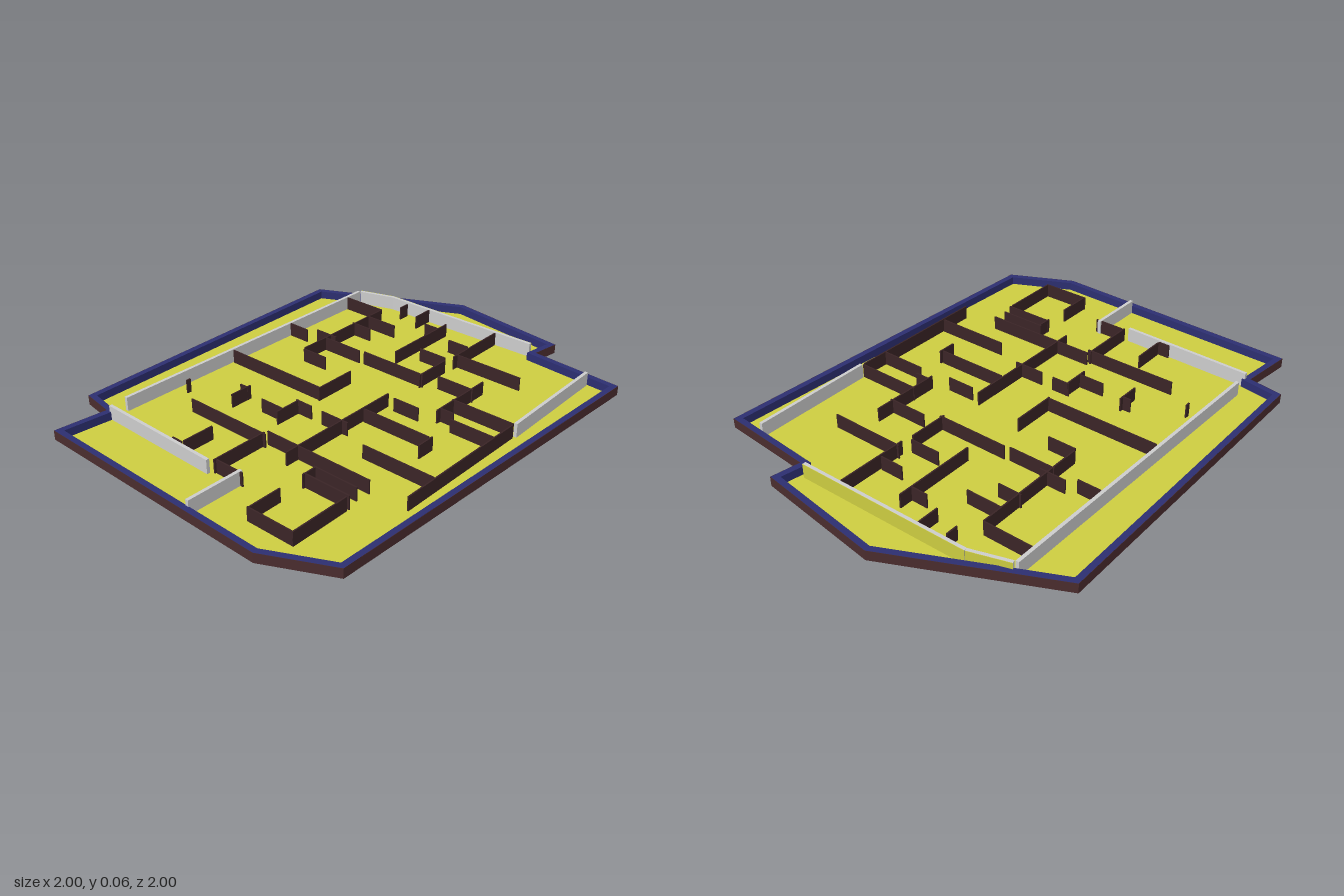
import * as THREE from 'three';

const mat = (color) => new THREE.MeshStandardMaterial({ color, flatShading: true, side: THREE.DoubleSide });

// Plan outline as [x, z], clockwise seen from above
const OUTLINE = [[-0.42, -1], [0.27, -1], [0.72, -0.705], [0.65, -0.605], [1, -0.4],
  [0.255, 1], [-0.04, 1], [-1, 0.5], [-0.88, 0.31], [-1, 0.225]];

// Partition runs as [x, z, length], starting at their back end
const CROSS = [
  [-0.25, -0.89, 0.2], [-0.11, -0.72, 0.15], [-0.16, -0.64, 0.1], [-0.42, -0.56, 0.1],
  [-0.29, -0.53, 0.11], [-0.24, -0.47, 0.2], [-0.04, -0.38, 0.31], [-0.29, -0.34, 0.12],
  [-0.57, -0.25, 0.49], [0.18, -0.47, 0.13], [0.15, -0.71, 0.07], [0.28, -0.58, 0.1],
  [0.33, -0.46, 0.32], [0.3, -0.25, 0.17], [0.39, -0.08, 0.28], [0.36, 0, 0.06],
  [0.41, 0.07, 0.2], [0.08, 0.08, 0.31], [0.17, -0.03, 0.12], [-0.19, 0.08, 0.08],
  [-0.07, 0.14, 0.13], [-0.32, 0.11, 0.11], [-0.58, 0.18, 0.4], [-0.22, 0.33, 0.49],
  [0.14, 0.33, 0.32], [0.01, 0.51, 0.2], [-0.01, 0.56, 0.21], [-0.13, 0.8, 0.21],
  [-0.33, 0.56, 0.13], [-0.54, 0.46, 0.05], [-0.44, 0.02, 0.04]];
const LONG = [
  [-0.07, -0.8, 0.5], [0.03, -0.89, 0.05], [0.14, -0.86, 0.1], [0.24, -0.73, 0.35],
  [0.46, -0.7, 0.3], [0.3, -0.39, 0.17], [-0.05, -0.2, 0.19], [0.48, -0.25, 0.3],
  [0.14, -0.06, 0.57], [-0.4, 0.02, 0.1], [-0.18, 0.08, 0.12], [0.37, 0.21, 0.08],
  [0.64, 0.05, 0.62], [-0.43, 0.35, 0.14], [-0.23, 0.34, 0.25], [0.02, 0.51, 0.07],
  [0.17, 0.66, 0.26], [-0.06, 0.67, 0.15], [-0.65, 0.03, 0.02]];

// Move every edge of a closed outline inward by d, with mitred corners
function inset(points, d) {
  const n = points.length;
  const normal = (a, b) => new THREE.Vector2(a[1] - b[1], b[0] - a[0]).normalize();
  return points.map((p, i) => {
    const n1 = normal(points[(i + n - 1) % n], p);
    const n2 = normal(p, points[(i + 1) % n]);
    const k = d / (1 + n1.dot(n2));
    return [p[0] + (n1.x + n2.x) * k, p[1] + (n1.y + n2.y) * k];
  });
}

// Flat plate, with an optional opening, rising from y0 by height
function plate(name, points, hole, y0, height, material) {
  const toV = (list) => list.map(([x, z]) => new THREE.Vector2(x, -z));
  const shape = new THREE.Shape(toV(points));
  if (hole) shape.holes.push(new THREE.Path(toV(hole)));
  const geo = new THREE.ExtrudeGeometry(shape, { depth: height, bevelEnabled: false });
  geo.rotateX(-Math.PI / 2);
  const mesh = new THREE.Mesh(geo, material);
  mesh.position.y = y0;
  mesh.name = name;
  return mesh;
}

// Upright wall between two plan points
function wall(name, [x1, z1], [x2, z2], thick, y0, y1, material) {
  const length = Math.hypot(x2 - x1, z2 - z1);
  const mesh = new THREE.Mesh(new THREE.BoxGeometry(length, y1 - y0, thick), material);
  mesh.position.set((x1 + x2) / 2, (y0 + y1) / 2, (z1 + z2) / 2);
  mesh.rotation.y = -Math.atan2(z2 - z1, x2 - x1);
  mesh.name = name;
  return mesh;
}

export function createModel() {
  const model = new THREE.Group();
  model.name = 'floorPlan';
  const yellow = mat(0xcccc40), navy = mat(0x2c2e70), brown = mat(0x4a2c2e);
  const grey = mat(0xcccccc), dark = mat(0x3a2426);
  const TOP = 0.065;

  // Floor and raised border
  const skin = inset(OUTLINE, 0.001);
  const inner = inset(OUTLINE, 0.026);
  model.add(plate('floor', inner, null, 0.002, 0.004, yellow));
  model.add(plate('border', skin, inner, 0, 0.04, navy));
  model.add(plate('borderSkin', OUTLINE, skin, 0, 0.0398, brown));

  // Thick outer walls
  const outerWalls = new THREE.Group();
  outerWalls.name = 'outerWalls';
  const back = [[-0.21, -0.973], [-0.05, -0.95], [0.62, -0.635]];
  const runs = [
    [[-0.22, -0.97], [-0.83, 0.24]],
    [back[0], back[1]], [back[1], back[2]],
    [[-0.86, 0.31], [-0.36, 0.57]],
    [[-0.225, 0.6], [-0.335, 0.82]],
    [[0.87, -0.44], [0.65, 0.04]]];
  runs.forEach(([a, b]) => outerWalls.add(wall('outerWall', a, b, 0.014, 0, TOP, grey)));
  model.add(outerWalls);

  // Yellow facing on the outside of the back wall
  for (let i = 0; i < 2; i++) {
    const [a, b] = [back[i], back[i + 1]];
    const len = Math.hypot(b[0] - a[0], b[1] - a[1]);
    const ox = (b[1] - a[1]) / len * 0.0078, oz = -(b[0] - a[0]) / len * 0.0078;
    model.add(wall('backWallFacing', [a[0] + ox, a[1] + oz], [b[0] + ox, b[1] + oz], 0.0016, 0.004, TOP, yellow));
  }

  // Thin partitions on two perpendicular directions
  const partitions = new THREE.Group();
  partitions.name = 'partitions';
  const c = Math.cos(0.454), s = Math.sin(0.454);
  const addRuns = (list, dx, dz) => list.forEach(([x, z, l]) =>
    partitions.add(wall('partition', [x, z], [x + dx * l, z + dz * l], 0.006, 0.005, TOP - 0.001, dark)));
  addRuns(CROSS, c, s);
  addRuns(LONG, -s, c);
  model.add(partitions);

  return model;
}
